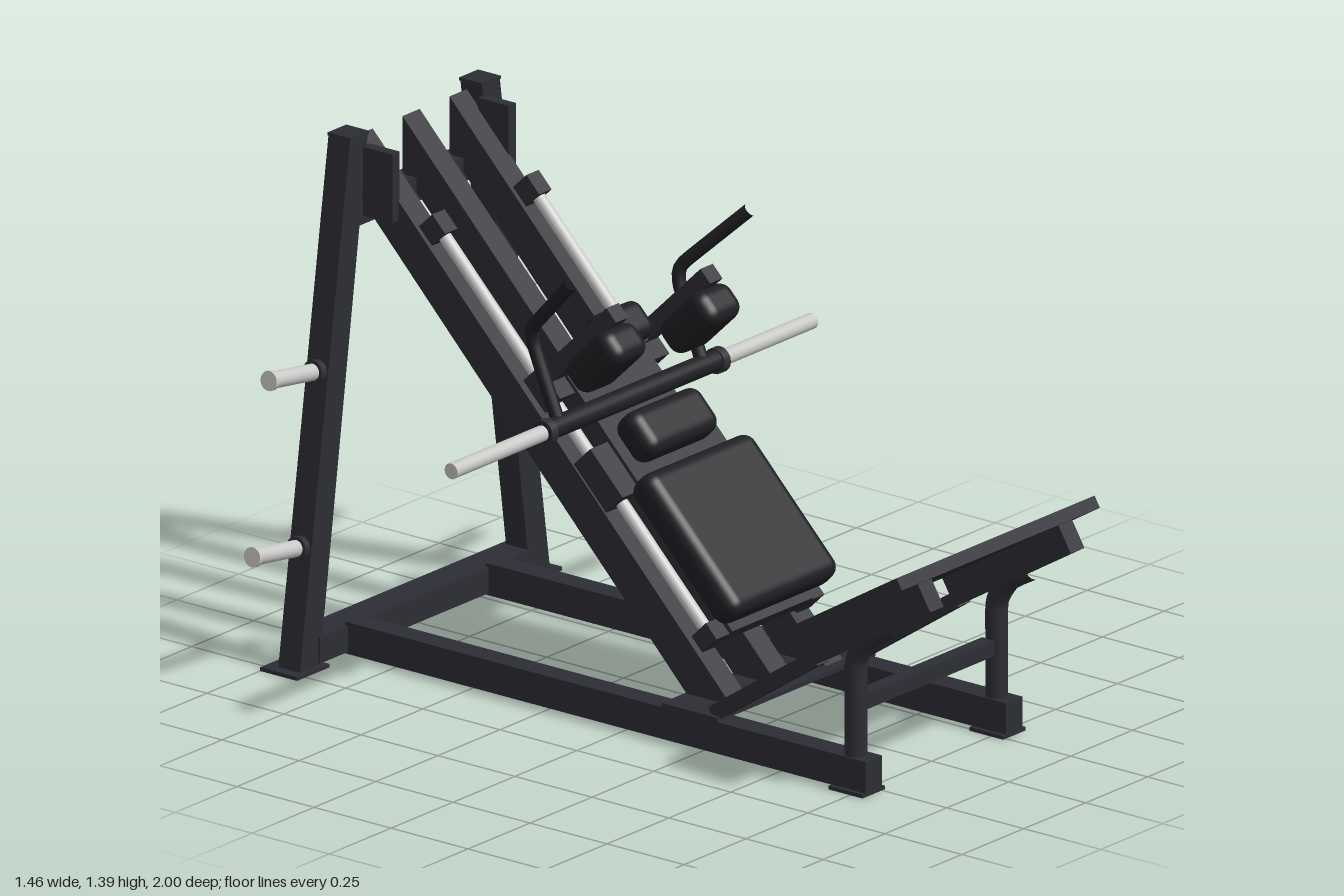
import * as THREE from 'three';
import { RoundedBoxGeometry } from 'three/addons/geometries/RoundedBoxGeometry.js';

export function createModel() {
  const model = new THREE.Group();
  model.name = 'inclineSquatMachine';
  const paint = (name, color) => {
    const m = new THREE.MeshStandardMaterial({ color });
    m.name = name;
    return m;
  };
  const frame = paint('charcoalFrame', 0x2d2d35);
  const vinyl = paint('blackVinyl', 0x1f1f24);
  const steel = paint('brightSteel', 0xc8c8c6);

  const add = (name, geo, mat, parent = model, x = 0, y = 0, z = 0) => {
    const m = new THREE.Mesh(geo, mat);
    m.name = name;
    m.position.set(x, y, z);
    parent.add(m);
    return m;
  };
  // Box given by its size and centre
  const box = (name, w, h, d, x, y, z, parent = model, mat = frame) =>
    add(name, new THREE.BoxGeometry(w, h, d), mat, parent, x, y, z);
  const pad = (name, w, h, d, x, y, z, parent, r = 0.03) =>
    add(name, new RoundedBoxGeometry(w, h, d, 4, r), vinyl, parent, x, y, z);
  // Round bar between two points
  const rod = (name, a, b, r, mat, parent = model) => {
    const p = new THREE.Vector3(...a), q = new THREE.Vector3(...b);
    const m = add(name, new THREE.CylinderGeometry(r, r, p.distanceTo(q), 20), mat, parent);
    m.position.copy(p).add(q).multiplyScalar(0.5);
    m.quaternion.setFromUnitVectors(new THREE.Vector3(0, 1, 0), q.sub(p).normalize());
    return m;
  };
  const extrude = (points, depth) => {
    const shape = new THREE.Shape(points.map(([a, b]) => new THREE.Vector2(a, b)));
    return new THREE.ExtrudeGeometry(shape, { depth, bevelEnabled: false }).translate(0, 0, -depth / 2);
  };
  const tube = (name, points, r, mat) => {
    const path = new THREE.CatmullRomCurve3(points.map(p => new THREE.Vector3(...p)), false, 'catmullrom', 0.3);
    return add(name, new THREE.TubeGeometry(path, 32, r, 14), mat);
  };

  // Cross members
  box('rearFloorBeam', 0.86, 0.07, 0.09, 0, 0.05, -0.935);
  box('upperCrossBeam', 0.56, 0.065, 0.07, 0, 1.177, -0.93);
  box('railBasePlate', 0.64, 0.012, 0.18, 0, 0.101, 0.22);
  box('frontLegCrossBar', 0.52, 0.042, 0.04, 0, 0.23, 0.725);

  // Three inclined rails, cut level at the floor and upright at the back
  const railProfile = [[0.28, 0.107], [0.135, 0.107], [-0.94, 1.22], [-0.94, 1.365]];
  for (const x of [-0.19, 0, 0.19])
    add('inclinedRail', extrude(railProfile, 0.07).rotateY(-Math.PI / 2), frame, model, x);

  // Sled parts: local y is away from the rails, local -z is up the slope
  const sled = new THREE.Group();
  sled.name = 'sled';
  sled.position.set(0, 0.12, 0.28);
  sled.rotation.x = THREE.MathUtils.degToRad(45.6);
  model.add(sled);
  box('carriagePlate', 0.31, 0.03, 0.7, 0, 0.07, -0.6, sled);
  box('carriageTopBar', 0.32, 0.05, 0.045, 0, 0.075, -0.95, sled);
  box('lowerStopBar', 0.33, 0.05, 0.05, 0, 0.055, -0.17, sled);
  pad('backPad', 0.435, 0.095, 0.435, 0, 0.131, -0.376, sled, 0.035);
  pad('lumbarPad', 0.285, 0.095, 0.13, 0, 0.135, -0.694, sled, 0.035);
  pad('headPad', 0.185, 0.075, 0.105, 0, 0.181, -0.965, sled);
  box('headPadStem', 0.05, 0.09, 0.04, 0, 0.12, -0.95, sled);

  // Foot platform, tilted up toward the front
  const platform = new THREE.Group();
  platform.name = 'footPlatform';
  platform.position.set(0, 0.517, 0.771);
  platform.rotation.x = THREE.MathUtils.degToRad(-31);
  model.add(platform);
  box('footPlate', 0.8, 0.034, 0.455, 0, 0, 0, platform);

  for (const s of [-1, 1]) {
    // Leaning rear posts with foot and cap
    add('rearPost', extrude([[s * 0.425, 0.01], [s * 0.505, 0.01], [s * 0.302, 1.385], [s * 0.23, 1.385]], 0.07),
      frame, model, 0, 0, -0.93);
    box('postCap', 0.076, 0.008, 0.074, s * 0.266, 1.386, -0.93);
    box('postFoot', 0.13, 0.01, 0.12, s * 0.47, 0.005, -0.94);
    box('railSideBracket', 0.03, 0.185, 0.1, s * 0.235, 1.26, -0.85);

    // Floor rails and front feet
    box('floorRail', 0.066, 0.085, 1.69, s * 0.284, 0.052, -0.055);
    box('frontFoot', 0.09, 0.01, 0.11, s * 0.284, 0.005, 0.735);

    // Bent front legs and sloping braces
    tube('frontLeg', [[s * 0.284, 0.09, 0.733], [s * 0.284, 0.25, 0.733], [s * 0.284, 0.35, 0.735],
      [s * 0.284, 0.415, 0.775], [s * 0.284, 0.46, 0.85]], 0.029, frame);
    const brace = box('platformBrace', 0.05, 0.04, 0.4, s * 0.284, 0.22, 0.45);
    brace.rotation.x = -Math.atan2(0.215, 0.32);
    box('platformBracket', 0.055, 0.078, 0.44, s * 0.284, -0.056, -0.015, platform);

    // Weight storage pegs square to the leaning post
    for (const [x, y] of [[0.35, 0.775], [0.417, 0.32]]) {
      const at = d => [s * (x + d * 0.99), y + d * 0.143, -0.93];
      rod('pegCollar', at(0.02), at(0.062), 0.031, frame);
      rod('storagePeg', at(0.05), at(0.235), 0.022, steel);
      rod('pegLip', at(0.228), at(0.24), 0.026, steel);
    }

    // Guide rods with mounts and bearing blocks
    const x = s * 0.19;
    rod('guideRod', [x, 0.032, -0.15], [x, 0.032, -1.42], 0.017, steel, sled);
    box('lowerRodMount', 0.055, 0.065, 0.05, x, 0.035, -0.17, sled);
    box('upperRodMount', 0.05, 0.06, 0.06, x, 0.03, -1.43, sled);
    box('bearingBlock', 0.07, 0.075, 0.15, x, 0.037, -0.655, sled);
    box('upperBearingBlock', 0.06, 0.07, 0.1, x, 0.045, -0.93, sled);

    // Shoulder pads and their arms
    pad('shoulderPad', 0.138, 0.195, 0.1, x, 0.26, -0.886, sled, 0.035);
    box('shoulderPadArm', 0.05, 0.326, 0.045, x, 0.213, -0.952, sled);

    // Plate sleeves and grab handles
    rod('plateSleeve', [s * 0.35, 0.763, -0.225], [s * 0.728, 0.763, -0.225], 0.021, steel);
    rod('sleeveCollar', [s * 0.335, 0.763, -0.225], [s * 0.36, 0.763, -0.225], 0.034, frame);
    tube('grabHandle', [[s * 0.29, 0.765, -0.225], [s * 0.292, 0.87, -0.268], [s * 0.294, 0.97, -0.306],
      [s * 0.3, 1.015, -0.303], [s * 0.325, 1.09, -0.228], [s * 0.36, 1.185, -0.13]], 0.018, vinyl);
  }
  rod('loadingBar', [-0.36, 0.765, -0.225], [0.36, 0.765, -0.225], 0.028, vinyl);

  return model;
}
